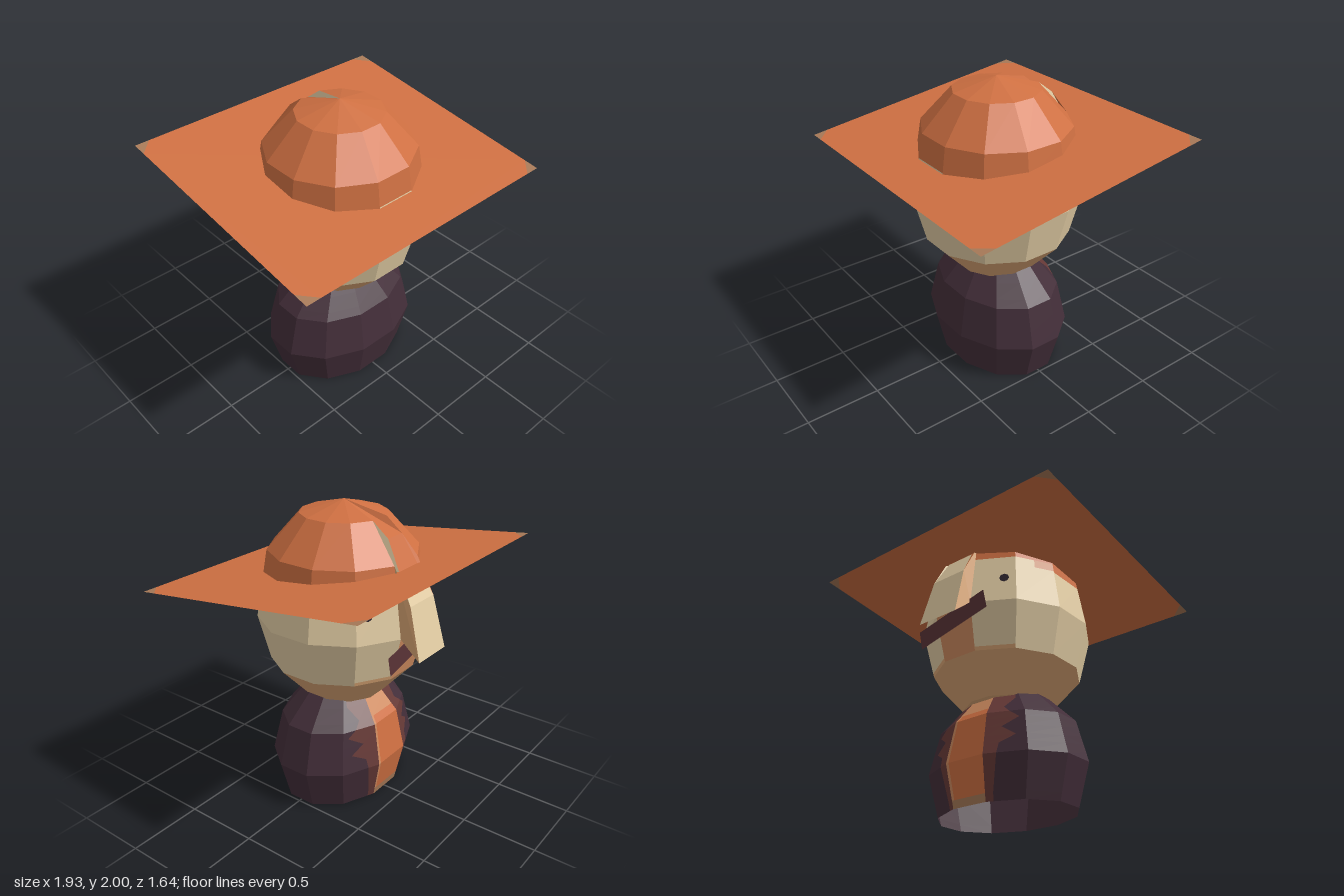
import * as THREE from 'three';

const paint = (name, color) => {
  const m = new THREE.MeshStandardMaterial({ color });
  m.name = name;
  return m;
};

export function createModel() {
  const root = new THREE.Group();
  root.name = 'hattedFigure';

  const orange = paint('orange', 0xcf7042);
  const beige = paint('beige', 0xe4cea5);
  const tan = paint('tan', 0xdba674);
  const peach = paint('peach', 0xd08c60);
  const plum = paint('plum', 0x432e39);
  const wine = paint('wine', 0x673a37);
  const maroon = paint('maroon', 0x5a3336);
  const black = paint('eyeBlack', 0x2c222c);
  const worn = paint('wornBrown', 0xa87a58);
  // the body is an open shell and the mouth a single sheet
  for (const m of [plum, wine, maroon]) m.side = THREE.DoubleSide;

  // Collects flat polygons and makes one faceted mesh per colour
  const facets = (name) => {
    const bins = new Map();
    return {
      poly(mat, ...p) {
        if (!bins.has(mat)) bins.set(mat, []);
        for (let i = 1; i < p.length - 1; i++) bins.get(mat).push(...p[0], ...p[i], ...p[i + 1]);
      },
      finish() {
        const g = new THREE.Group();
        g.name = name;
        for (const [mat, pos] of bins) {
          const geo = new THREE.BufferGeometry();
          geo.setAttribute('position', new THREE.Float32BufferAttribute(pos, 3));
          geo.computeVertexNormals();
          const mesh = new THREE.Mesh(geo, mat);
          mesh.name = name + '_' + mat.name;
          g.add(mesh);
        }
        root.add(g);
      },
    };
  };

  // Point on a 12-sided solid: column 0 faces the face side (-z), t runs across the column
  const surface = (profile, depth) => (col, t, y) => {
    let i = 0;
    while (i < profile.length - 2 && y > profile[i + 1][1]) i++;
    const [[r0, y0], [r1, y1]] = [profile[i], profile[i + 1]];
    const r = (r0 + ((r1 - r0) * (y - y0)) / (y1 - y0)) / Math.cos(Math.PI / 12);
    const a = ((col - 0.5) * Math.PI) / 6, b = ((col + 0.5) * Math.PI) / 6;
    const s = Math.sin(a) * (1 - t) + Math.sin(b) * t;
    const c = Math.cos(a) * (1 - t) + Math.cos(b) * t;
    return [r * s, y, -r * c * depth];
  };
  // Patch of one column; [t at the bottom, t at the top] for each side edge
  const panel = (f, at, mat, col, [a0, a1], [b0, b1], y0, y1) =>
    f.poly(mat, at(col, b0, y0), at(col, a0, y0), at(col, a1, y1), at(col, b1, y1));
  const START = [0, 0], END = [1, 1], HALF = [0.5, 0.5];

  // Body, open below, with an orange front strip and wavy wine edges
  const body = facets('body');
  const bodyAt = surface([[0.475, 0], [0.55, 0.275], [0.475, 0.555], [0.275, 0.76], [0, 0.83]], 0.75);
  const rows = [0, 0.05, 0.275, 0.34, 0.39, 0.45, 0.51, 0.555, 0.6, 0.68, 0.76, 0.83];
  const wave = [0.2, 0.2, 0.3, 0.35, 0.75, 0.4, 0.85, 0.6, 0.45, 0.85, 0.9, 0.9];
  for (let col = -5; col <= 6; col++) {
    for (let i = 0; i < rows.length - 1; i++) {
      const [y0, y1] = [rows[i], rows[i + 1]];
      if (col === 0) {
        const mat = i === 0 ? worn : y0 >= 0.6 ? peach : orange;
        const edge = [0.93, 0.93];
        panel(body, bodyAt, mat, col, START, edge, y0, y1);
        panel(body, bodyAt, i === 0 ? worn : peach, col, edge, END, y0, y1);
        panel(body, bodyAt, orange, col, END, START, y0, y1); // inside of the strip
      } else if (Math.abs(col) === 1) {
        const cut = [wave[i], wave[i + 1]].map((w) => (col > 0 ? w : 1 - w));
        panel(body, bodyAt, col > 0 ? wine : plum, col, START, cut, y0, y1);
        panel(body, bodyAt, col > 0 ? plum : wine, col, cut, END, y0, y1);
      } else panel(body, bodyAt, plum, col, START, END, y0, y1);
    }
  }
  body.finish();

  // Head and the crown of the hat
  const head = facets('head');
  const headAt = surface(
    [[0, 0.63], [0.275, 0.71], [0.475, 0.935], [0.55, 1.24], [0.475, 1.69], [0.275, 1.92], [0, 2]], 1);
  for (let col = -5; col <= 6; col++) {
    const k = Math.abs(col);
    const cut = k <= 2 ? 1.59 : k === 6 ? 1.53 : 1.52;
    const jaw = k === 1 ? 0.96 : 0.935;
    const band = (mat, ...ys) => {
      for (let i = 0; i < ys.length - 1; i++) panel(head, headAt, mat, col, START, END, ys[i], ys[i + 1]);
    };
    band(tan, 0.63, 0.71, 0.935);
    if (col === 0) { // the nose replaces the rest of this column
      band(peach, 0.935, 1.24);
      continue;
    }
    if (k === 1) band(tan, 0.935, jaw);
    band(beige, jaw, 1.24, k === 2 ? 1.53 : cut);
    if (k === 2) { // tanned temple
      panel(head, headAt, col > 0 ? beige : peach, col, START, HALF, 1.53, cut);
      panel(head, headAt, col > 0 ? peach : beige, col, HALF, END, 1.53, cut);
    }
    band(orange, cut, 1.69, 1.92, 2);
  }
  head.finish();

  // Long nose that folds out of the crown and hangs over the face
  const nose = facets('nose');
  const ridge = [[0, 2, 0], [0.074, 1.83, -0.39], [0.13, 1.46, -0.6], [0.15, 1.12, -0.69]];
  const base = [2, 1.92, 1.69, 1.24].map((y) => headAt(0, 1, y));
  const flip = ([x, y, z]) => [-x, y, z];
  const front = (mat, hi, lo) => nose.poly(mat, lo, flip(lo), flip(hi), hi);
  const brimCut = ridge[1].map((v, i) => (v + ridge[2][i]) / 2);
  front(orange, ridge[0], ridge[1]);
  front(orange, ridge[1], brimCut);
  front(beige, brimCut, ridge[2]);
  front(beige, ridge[2], ridge[3]);
  nose.poly(tan, ridge[3], base[3], flip(base[3]), flip(ridge[3]));
  for (let i = 0; i < 3; i++) {
    const wall = [base[i], base[i + 1], ridge[i + 1], ridge[i]];
    const other = wall.map(flip);
    // outer and inner faces, since the top of the fold is an open groove
    nose.poly(i < 2 ? beige : tan, ...wall);
    nose.poly(orange, ...[...wall].reverse());
    nose.poly(orange, ...other);
    nose.poly(i < 2 ? orange : tan, ...other.reverse());
  }
  nose.finish();

  // Square brim, tipped down at +z, with worn corners
  const brim = new THREE.Group();
  brim.name = 'brim';
  brim.position.y = 1.585;
  brim.rotation.x = Math.atan(0.128);
  const W = 0.965, D = 0.827, C = 0.1;
  const plate = (name, pts, mat) => {
    const shape = new THREE.Shape(pts.map((p) => new THREE.Vector2(...p)));
    for (const up of [1, -1]) {
      const mesh = new THREE.Mesh(new THREE.ShapeGeometry(shape).rotateX(-up * Math.PI / 2), mat);
      mesh.name = name + (up > 0 ? 'Top' : 'Underside');
      mesh.position.y = up * 0.002;
      brim.add(mesh);
    }
  };
  plate('brim', [[C - W, -D], [W - C, -D], [W, C - D], [W, D - C],
    [W - C, D], [C - W, D], [-W, D - C], [-W, C - D]], orange);
  for (const sx of [-1, 1]) for (const sy of [-1, 1])
    plate('brimCorner', [[sx * W, sy * D], [sx * (W - C), sy * D], [sx * W, sy * (D - C)]], worn);
  root.add(brim);

  // Eyes lie on the slanted cheek facets
  for (const side of [-1, 1]) {
    const eye = new THREE.Mesh(new THREE.CircleGeometry(0.032, 8), black);
    eye.name = side > 0 ? 'leftEye' : 'rightEye';
    const p = new THREE.Vector3(...headAt(side, side > 0 ? 0.73 : 0.27, 1.415));
    const n = new THREE.Vector3(side * 0.5, 0.16, -0.866).normalize();
    eye.position.copy(p).addScaledVector(n, 0.004);
    eye.lookAt(eye.position.clone().add(n));
    root.add(eye);
  }

  // Crooked flat mouth behind the nose
  const mouth = new THREE.Mesh(new THREE.PlaneGeometry(0.56, 0.135), maroon);
  mouth.name = 'mouth';
  mouth.position.set(0, 1.16, -0.556);
  mouth.rotation.z = -0.22;
  root.add(mouth);

  return root;
}
